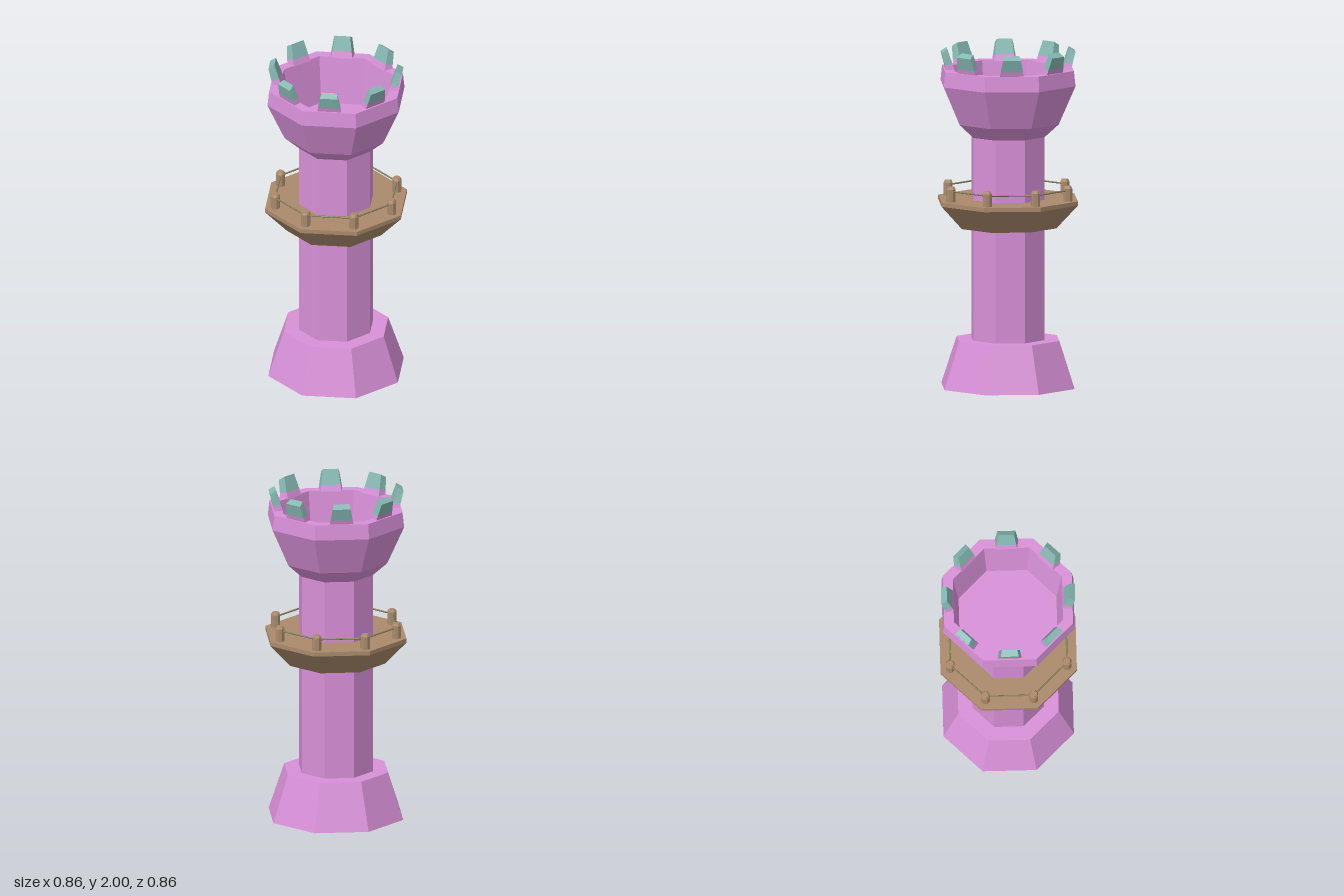
import * as THREE from 'three';

const SIDES = 8;
const material = (color) => new THREE.MeshStandardMaterial({ color, flatShading: true });
const stone = material(0xd890d8);
const wood = material(0xab8a6c);
const teal = material(0x85b8b2);
const rope = material(0x85805a);

function add(parent, name, geometry, mat) {
  const mesh = new THREE.Mesh(geometry, mat);
  mesh.name = name;
  parent.add(mesh);
  return mesh;
}

// Octagonal solid of revolution; corners lie on the x and z axes
function octagon(profile, sides = SIDES) {
  const geometry = new THREE.LatheGeometry(profile.map(([r, y]) => new THREE.Vector2(r, y)), sides);
  return geometry;
}

// Outward-leaning merlon slice between fractions a and b of its height
function merlonSlice(a, b) {
  const geometry = new THREE.BoxGeometry(1, 1, 1);
  const p = geometry.attributes.position;
  const mix = THREE.MathUtils.lerp;
  for (let i = 0; i < p.count; i++) {
    const t = p.getY(i) > 0 ? b : a;
    const outer = p.getZ(i) > 0;
    const halfWidth = outer ? mix(0.071, 0.053, t) : mix(0.062, 0.045, t);
    const z = outer ? mix(0.366, 0.392, t) : mix(0.315, 0.358, t);
    const y = mix(1.875, outer ? 1.977 : 2.0, t);
    p.setXYZ(i, Math.sign(p.getX(i)) * halfWidth, y, z);
  }
  geometry.computeVertexNormals();
  return geometry;
}

export function createModel() {
  const tower = new THREE.Group();
  tower.name = 'tower';

  // Flared foot and shaft
  add(tower, 'base', octagon([[0, 0], [0.413, 0], [0.318, 0.28], [0.22, 0.28]]), stone);
  add(tower, 'shaft', octagon([[0.226, 0.27], [0.226, 1.49]]), stone);

  // Hollow crown with a sunken floor
  add(tower, 'crown', octagon([
    [0.2, 1.48], [0.226, 1.48], [0.314, 1.56], [0.418, 1.79], [0.408, 1.88],
    [0.346, 1.88], [0.31, 1.59], [0, 1.59],
  ]), stone);

  // One merlon on the middle of each crown side, with a coloured cap
  for (let i = 0; i < SIDES; i++) {
    const merlon = new THREE.Group();
    merlon.name = 'merlon';
    merlon.rotation.y = ((i + 0.5) * Math.PI * 2) / SIDES;
    add(merlon, 'merlonFoot', merlonSlice(0, 0.3), stone);
    add(merlon, 'merlonCap', merlonSlice(0.3, 1), teal);
    tower.add(merlon);
  }

  // Wooden balcony around the shaft
  const balcony = new THREE.Group();
  balcony.name = 'balcony';
  tower.add(balcony);
  add(balcony, 'platform', octagon([
    [0.2, 0.945], [0.3, 0.945], [0.432, 1.085], [0.432, 1.11], [0.2, 1.11],
  ]), wood);

  // Railing: a post at each corner and a rope to the next post
  const radius = 0.37;
  const ropeLength = 2 * radius * Math.sin(Math.PI / SIDES);
  const postShape = octagon([[0.028, 1.1], [0.028, 1.185], [0.02, 1.2], [0, 1.2]]);
  const ropeShape = new THREE.CylinderGeometry(0.005, 0.005, ropeLength, 6);
  ropeShape.rotateZ(Math.PI / 2);
  for (let i = 0; i < SIDES; i++) {
    const angle = (i * Math.PI * 2) / SIDES;
    const post = add(balcony, 'railPost', postShape, wood);
    post.position.set(radius * Math.sin(angle), 0, radius * Math.cos(angle));
    post.rotation.y = angle;

    const mid = angle + Math.PI / SIDES;
    const reach = radius * Math.cos(Math.PI / SIDES);
    const rail = add(balcony, 'railRope', ropeShape, rope);
    rail.position.set(reach * Math.sin(mid), 1.172, reach * Math.cos(mid));
    rail.rotation.y = mid;
  }

  return tower;
}
